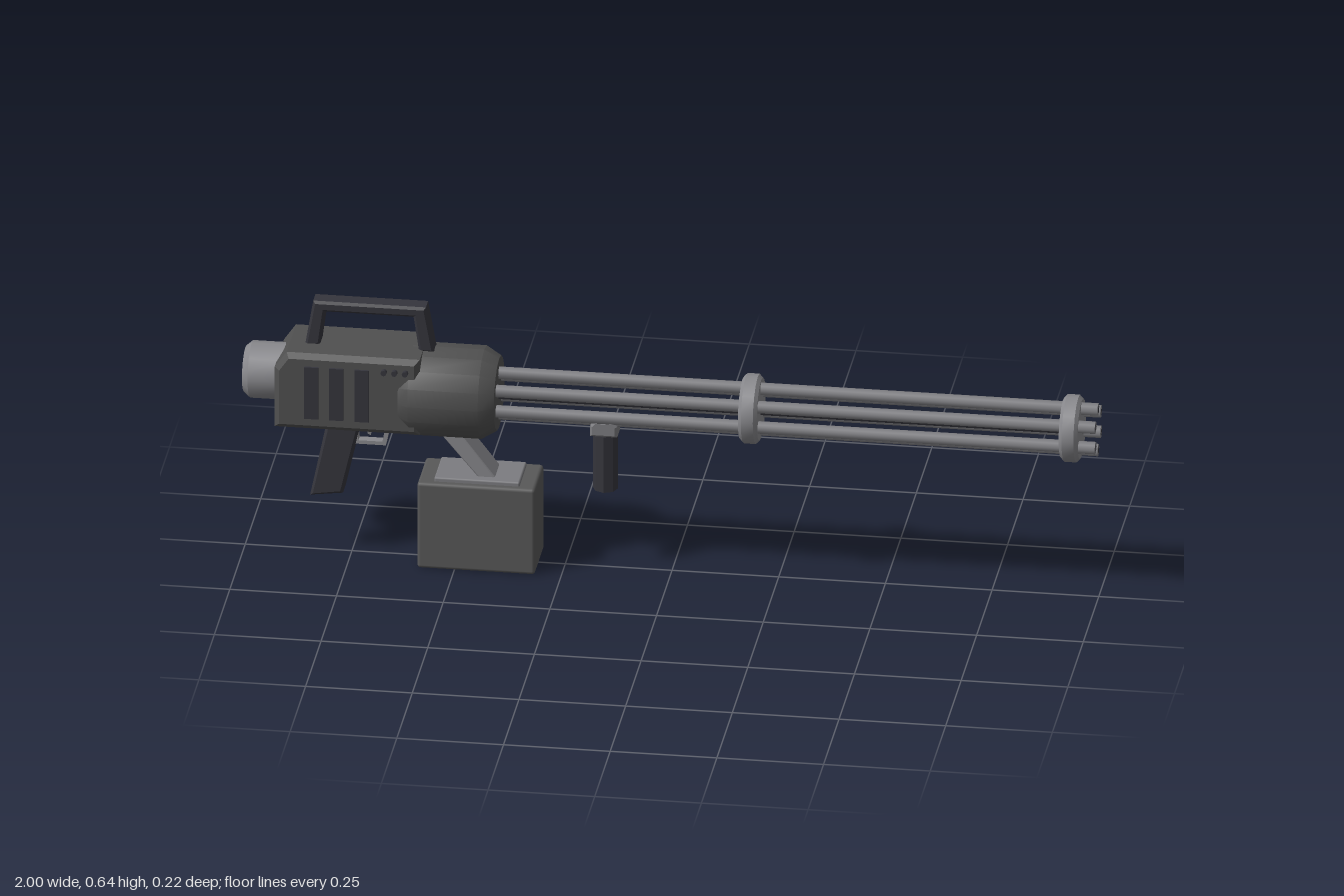
import * as THREE from 'three';
import { toCreasedNormals } from 'three/addons/utils/BufferGeometryUtils.js';
import { RoundedBoxGeometry } from 'three/addons/geometries/RoundedBoxGeometry.js';

const mat = (name, color, side = THREE.FrontSide) => {
  const m = new THREE.MeshStandardMaterial({ color, side });
  m.name = name;
  return m;
};

export function createModel() {
  const root = new THREE.Group();
  root.name = 'rotaryGun';
  const body = mat('body grey', 0x505050);
  const boxGrey = mat('ammo box grey', 0x585858);
  const dark = mat('dark grip', 0x35353c);
  const steel = mat('steel', 0x7c7c80);
  const light = mat('light metal', 0x88888c);
  const AXIS = 0.427; // height of the barrel axis

  const add = (name, geo, material, x = 0, y = 0, z = 0) => {
    const m = new THREE.Mesh(geo, material);
    m.name = name;
    m.position.set(x, y, z);
    root.add(m);
    return m;
  };

  // Solid of revolution about x, from [x, radius] pairs running towards +x
  const turned = (pts, sides) => {
    const g = new THREE.LatheGeometry(pts.map(([x, r]) => new THREE.Vector2(r, x)), sides);
    g.rotateZ(-Math.PI / 2);
    return toCreasedNormals(g, 0.6);
  };

  // Side profile in x, y extruded to a total width with chamfered edges
  const slab = (pts, width, bevel, hole) => {
    const s = new THREE.Shape(pts.map(p => new THREE.Vector2(...p)));
    if (hole) s.holes.push(new THREE.Path(hole.map(p => new THREE.Vector2(...p))));
    const g = new THREE.ExtrudeGeometry(s, {
      depth: width - 2 * bevel, bevelEnabled: bevel > 0, bevelThickness: bevel,
      bevelSize: bevel, bevelOffset: -bevel, bevelSegments: 1,
    });
    g.translate(0, 0, -width / 2 + bevel);
    return g;
  };

  // Rear motor, receiver and drum housing
  add('rearMotor', turned([[-1, 0], [-1, 0.054], [-0.985, 0.067], [-0.88, 0.067], [-0.88, 0]], 16), light, 0, 0.45);
  add('receiver', slab([[-0.92, 0.343], [-0.58, 0.343], [-0.58, 0.535], [-0.892, 0.535], [-0.92, 0.495]], 0.176, 0.012), body);
  add('drumHousing', turned([[-0.63, 0], [-0.63, 0.094], [-0.605, 0.109], [-0.44, 0.109], [-0.405, 0.088], [-0.405, 0]], 16), body, 0, AXIS);

  // Cooling slots on both sides
  for (const x of [-0.832, -0.774, -0.714]) {
    for (const z of [-0.089, 0.089]) {
      add('coolingSlot', new THREE.BoxGeometry(0.033, 0.132, 0.008), dark, x, 0.44, z);
    }
  }

  // Small studs on the left flank
  for (const x of [-0.662, -0.637, -0.612]) {
    const g = new THREE.CylinderGeometry(0.007, 0.007, 0.018, 8);
    g.rotateX(Math.PI / 2);
    add('stud', g, dark, x, 0.505, 0.09);
  }

  // Carrying handle
  add('carryHandle', slab([
    [-0.857, 0.53], [-0.838, 0.643], [-0.574, 0.643], [-0.554, 0.53],
    [-0.59, 0.53], [-0.603, 0.617], [-0.81, 0.617], [-0.822, 0.53],
  ], 0.048, 0.006), dark);

  // Rear grip, trigger guard and trigger
  add('rearGrip', slab([[-0.845, 0.147], [-0.768, 0.157], [-0.724, 0.35], [-0.803, 0.35]], 0.056, 0.007), dark);
  add('triggerGuard', slab([[-0.75, 0.35], [-0.742, 0.28], [-0.669, 0.28], [-0.655, 0.35]], 0.022, 0,
    [[-0.74, 0.343], [-0.667, 0.343], [-0.677, 0.289], [-0.733, 0.289]]), light);
  add('trigger', slab([[-0.71, 0.35], [-0.713, 0.305], [-0.705, 0.302], [-0.695, 0.35]], 0.012, 0), steel);

  // Six barrels with dark bores around a central shaft
  const barrelGeo = new THREE.CylinderGeometry(0.0155, 0.0155, 1.42, 8);
  barrelGeo.rotateZ(-Math.PI / 2);
  const barrelShape = toCreasedNormals(barrelGeo, 0.9);
  const bore = new THREE.CircleGeometry(0.0085, 6);
  bore.rotateY(Math.PI / 2);
  for (let i = 0; i < 6; i++) {
    const a = Math.PI / 2 + i * Math.PI / 3;
    const y = AXIS + 0.052 * Math.sin(a), z = 0.052 * Math.cos(a);
    add('barrel', barrelShape, steel, 0.289, y, z);
    add('bore', bore, dark, 0.9995, y, z);
  }
  add('centralShaft', turned([[-0.41, 0], [-0.41, 0.015], [0.93, 0.015], [0.93, 0]], 8), dark, 0, AXIS);

  // Barrel clamps
  for (const [x, r] of [[0.187, 0.082], [0.938, 0.079]]) {
    const h = 0.022;
    add('barrelClamp', turned([[x - h, 0], [x - h, r - 0.008], [x - h + 0.008, r],
      [x + h - 0.008, r], [x + h, r - 0.008], [x + h, 0]], 16), light, 0, AXIS);
  }

  // Front grip hanging from its mount
  add('frontGripMount', slab([[-0.188, 0.343], [-0.125, 0.343], [-0.125, 0.37], [-0.135, 0.382],
    [-0.178, 0.382], [-0.188, 0.37]], 0.06, 0.005), steel);
  const gripGeo = new THREE.CylinderGeometry(0.029, 0.029, 0.142, 8);
  add('frontGrip', toCreasedNormals(gripGeo, 0.5), dark, -0.156, 0.272, 0);

  // Ammunition box, lid and slanted feed chute
  add('ammoBox', new RoundedBoxGeometry(0.276, 0.218, 0.146, 2, 0.008), boxGrey, -0.449, 0.109, 0);
  add('ammoLid', new RoundedBoxGeometry(0.2, 0.02, 0.118, 1, 0.004), steel, -0.449, 0.218, 0);
  add('feedChute', slab([[-0.447, 0.222], [-0.405, 0.222], [-0.5, 0.345], [-0.55, 0.345]], 0.076, 0.004), light);

  return root;
}
